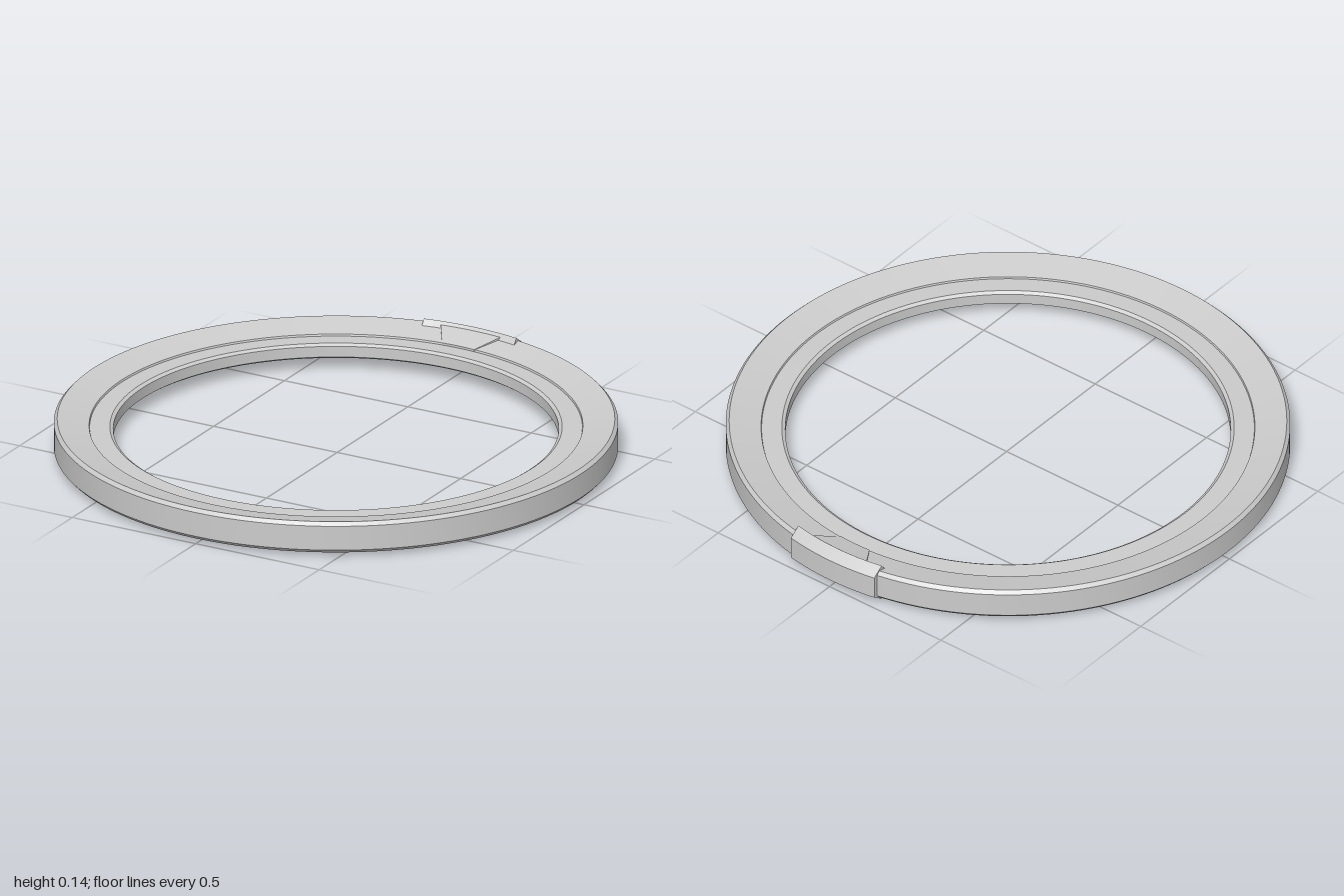
import * as THREE from 'three';
import { toCreasedNormals } from 'three/addons/utils/BufferGeometryUtils.js';

const MID = 0.0725; // height of the symmetry plane

// Completes an upper half profile [radius, height above the mid plane] with its mirror image
function mirrored(half) {
  const lower = half.map(([r, h]) => [r, -h]).reverse();
  return [...half, ...lower].map(([r, h]) => new THREE.Vector2(r, MID + h));
}

// Sweeps a closed profile along an arc at the back; halfWidth(r) is the half length of the arc
function arcBlock(points, halfWidth, steps) {
  const geo = new THREE.ExtrudeGeometry(new THREE.Shape(points), { depth: 1, steps, bevelEnabled: false });
  const pos = geo.attributes.position;
  for (let i = 0; i < pos.count; i++) {
    const r = pos.getX(i);
    const a = (pos.getZ(i) * 2 - 1) * Math.asin(halfWidth(r) / r);
    pos.setXYZ(i, r * Math.sin(a), pos.getY(i), -r * Math.cos(a));
  }
  return toCreasedNormals(geo, 0.2);
}

export function createModel() {
  const model = new THREE.Group();
  const material = new THREE.MeshStandardMaterial({ color: 0xcccccc });
  const add = (name, geo) => {
    const mesh = new THREE.Mesh(geo, material);
    mesh.name = name;
    model.add(mesh);
  };

  // Ring: dished outer flange, small step, thinner inner band with chamfered rim
  const half = [
    [0.992, 0.045], [0.98, 0.058], [0.868, 0.033],
    [0.866, 0.026], [0.795, 0.028], [0.783, 0.02],
  ];
  const profile = mirrored(half);
  profile.push(profile[0].clone());
  add('ring', toCreasedNormals(new THREE.LatheGeometry(profile, 160), 0.2));

  // Clasp wrapped around the outer edge at the back
  add('clasp', arcBlock(
    mirrored([[1.008, 0.043], [0.967, 0.0725], [0.95, 0.05]]), () => 0.187, 16));

  // Tapered wedges running from the clasp to the step, above and below
  const taper = (r) => 0.065 + (r - 0.866) * 0.6;
  add('claspWedge', arcBlock(
    mirrored([[0.975, 0.066], [0.866, 0.034]]), taper, 10));

  model.position.z = 0.008;
  return model;
}
